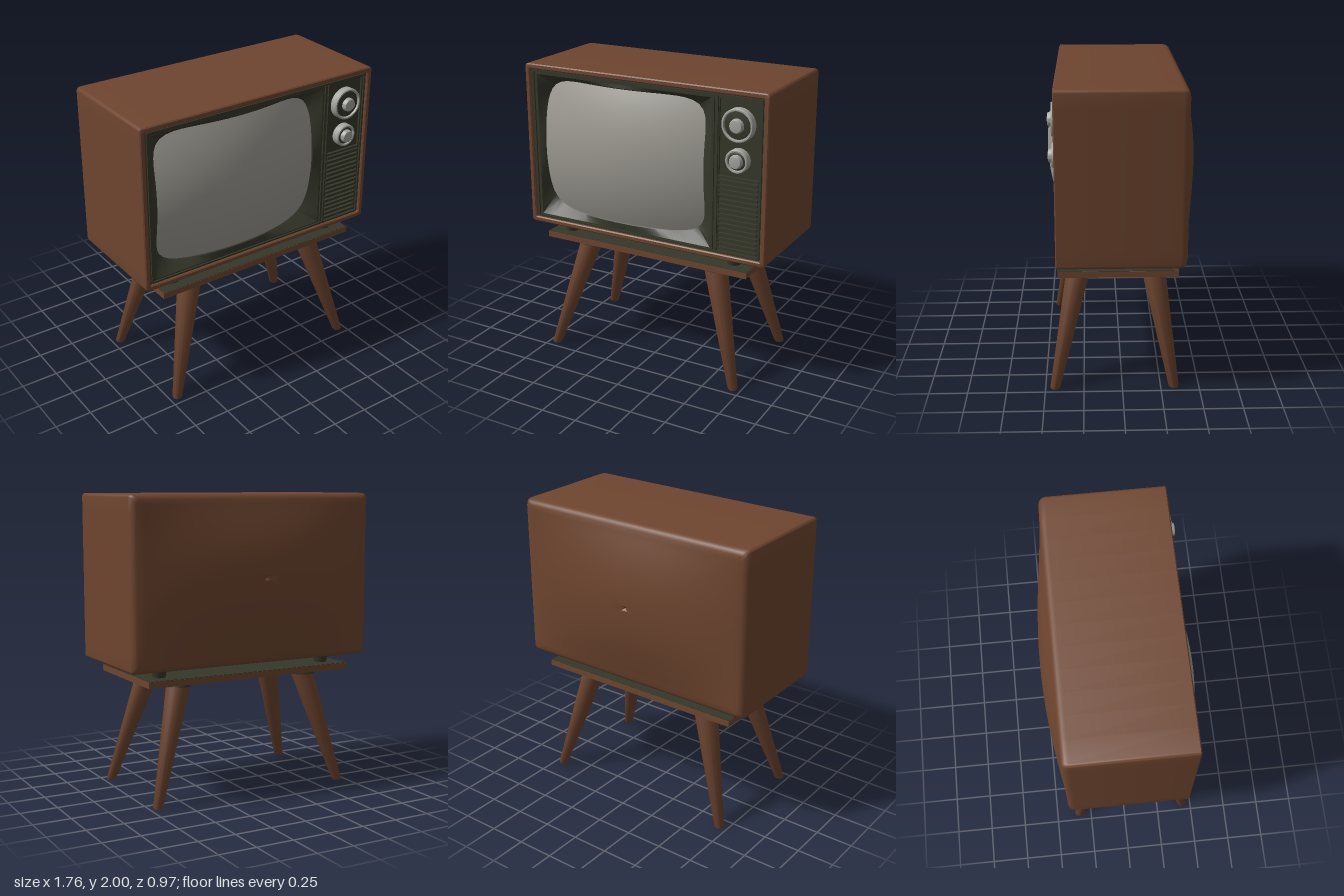
import * as THREE from 'three';
import { toCreasedNormals } from 'three/addons/utils/BufferGeometryUtils.js';

const paint = (name, color) => Object.assign(new THREE.MeshStandardMaterial({ color }), { name });

// Surface through closed rings of [x, y, z] points (counter-clockwise seen from the front)
function loft(rings, crease = 0.6) {
  const n = rings[0].length, index = [];
  for (let i = 0; i < rings.length - 1; i++) {
    for (let j = 0; j < n; j++) {
      const k = (j + 1) % n, a = i * n, b = a + n;
      index.push(a + j, b + j, b + k, a + j, b + k, a + k);
    }
  }
  const g = new THREE.BufferGeometry();
  g.setAttribute('position', new THREE.Float32BufferAttribute(rings.flat(2), 3));
  g.setIndex(index);
  return toCreasedNormals(g, crease);
}

// Rounded rectangle outline with subdivided sides, centred on the origin
function roundedRect(hw, hh, r, sides = 12, arc = 5) {
  const pts = [];
  const centres = [[1, 1], [-1, 1], [-1, -1], [1, -1]];
  centres.forEach(([sx, sy], q) => {
    for (let i = 0; i <= arc; i++) {
      const a = (q + i / arc) * Math.PI / 2;
      pts.push([sx * (hw - r) + r * Math.cos(a), sy * (hh - r) + r * Math.sin(a)]);
    }
    const [nx, ny] = centres[(q + 1) % 4];
    const [px, py] = pts[pts.length - 1];
    const a = (q + 1) * Math.PI / 2;
    const ex = nx * (hw - r) + r * Math.cos(a), ey = ny * (hh - r) + r * Math.sin(a);
    for (let i = 1; i < sides; i++) pts.push([px + (ex - px) * i / sides, py + (ey - py) * i / sides]);
  });
  return pts;
}

// Unit outline: p = Infinity gives a square, smaller p a barrel-sided tube shape
function unitOutline(p, n = 96) {
  return Array.from({ length: n }, (_, i) => {
    const a = i / n * Math.PI * 2, c = Math.cos(a), s = Math.sin(a);
    const ac = Math.abs(c), as = Math.abs(s);
    const d = p === Infinity ? Math.max(ac, as) : (ac ** p + as ** p) ** (1 / p);
    return [c / d, s / d];
  });
}

export function createModel() {
  const brown = paint('walnut', 0x6e452f);
  const dark = paint('dark trim', 0x35372a);
  const glass = paint('screen glass', 0x9d9a92);
  const silver = paint('silver', 0xa3a39e);

  const model = new THREE.Group();
  model.name = 'televisionOnStand';
  const add = (name, geometry, material, x = 0, y = 0, z = 0, parent = model) => {
    const m = new THREE.Mesh(geometry, material);
    m.name = name;
    m.position.set(x, y, z);
    parent.add(m);
    return m;
  };
  const box = (name, w, h, d, material, x, y, z) =>
    add(name, new THREE.BoxGeometry(w, h, d), material, x, y, z);

  // Cabinet: recessed front rim, straight sides, softly bulging back
  const HW = 0.88, HH = 0.555, CY = 1.445;
  const ring = (inset, z, r) => roundedRect(HW - inset, HH - inset, r).map(([x, y]) => [x, y + CY, z]);
  const shell = [
    ring(0.035, 0.35, 0.006), ring(0.035, 0.408, 0.006), ring(0.028, 0.415, 0.01),
    ring(0.007, 0.415, 0.02), ring(0, 0.408, 0.022), ring(0, -0.35, 0.022),
    ring(0.004, -0.37, 0.025), ring(0.015, -0.387, 0.028), ring(0.035, -0.395, 0.03),
  ];
  const rim = shell[shell.length - 1];
  const cx = -0.03;
  for (const s of [0.94, 0.86, 0.77, 0.67, 0.56, 0.45, 0.34, 0.23, 0.12, 0.03, 0]) {
    shell.push(rim.map(([x, y]) => {
      const px = cx + (x - cx) * s, py = CY + (y - CY) * s;
      const u = (px - cx) / (x > cx ? 0.875 : 0.815), v = (py - CY) / 0.52;
      const bulge = Math.max(0, 1 - u * u) * Math.max(0, 1 - v * v) ** 1.15;
      return [px, py + 0.02 * (1 - s), -0.395 - 0.089 * bulge + (s === 0 ? 0.015 : 0)];
    }));
  }
  add('cabinet', loft(shell, 0.7), brown);

  // Front panel frame with openings for the screen and the controls
  const rect = (P, x0, x1, y0, y1) =>
    new P([[x0, y0], [x1, y0], [x1, y1], [x0, y1]].map(([x, y]) => new THREE.Vector2(x, y)));
  const SX = -0.155, BW = 0.645, BY = 1.44, BH = 0.49;
  const face = rect(THREE.Shape, -0.846, 0.846, 0.924, 1.966);
  face.holes.push(rect(THREE.Path, SX - BW, SX + BW, BY - BH, BY + BH));
  face.holes.push(rect(THREE.Path, 0.545, 0.815, 0.945, 1.935));
  add('frontPanel', new THREE.ExtrudeGeometry(face, { depth: 0.03, bevelEnabled: false }), dark, 0, 0, 0.365);

  // Raised trim lines around the panel and beside the divider
  for (const x of [-0.825, 0.507, 0.533, 0.83]) box('verticalTrim', 0.012, 1.02, 0.012, dark, x, 1.445, 0.4);
  for (const y of [0.937, 1.953]) box('horizontalTrim', 1.66, 0.012, 0.012, dark, 0, y, 0.4);

  // Curved picture tube and the sloping bezel that meets its edge
  const SW = 0.595, SH = 0.453, SY = 1.45;
  const tube = unitOutline(6.5);
  const screenRing = (s, lift = 0) => tube.map(([u, v]) => [
    SX - 0.01 + SW * u * s, SY + SH * v * s, 0.485 - 0.108 * (u * s) ** 2 - 0.092 * (v * s) ** 2 + lift]);
  add('screen', loft([0, 0.12, 0.25, 0.4, 0.55, 0.7, 0.82, 0.92, 1].map((s) => screenRing(s)), 1), glass);
  const opening = unitOutline(Infinity).map(([u, v]) => [SX + BW * u, BY + BH * v, 0.395]);
  add('screenBezel', loft([screenRing(0.995, -0.006), screenRing(1.012, 0.008), opening], 0.5), dark);

  // Control panel and speaker grille
  box('controlPanel', 0.28, 1.0, 0.01, dark, 0.68, 1.44, 0.375);
  box('grilleDivider', 0.27, 0.014, 0.022, dark, 0.68, 1.438, 0.389);
  for (let i = 0; i < 15; i++) box('grilleSlat', 0.262, 0.016, 0.02, dark, 0.68, 0.962 + i * 0.0322, 0.39);

  // Dials: silver ring, dark dish and silver knob
  const lathe = (pts, n = 40) => {
    const g = new THREE.LatheGeometry(pts.map(([r, y]) => new THREE.Vector2(r, y)), n);
    return toCreasedNormals(g.rotateX(Math.PI / 2), 0.6);
  };
  const dial = (name, y, R, knob) => {
    const g = new THREE.Group();
    g.name = name;
    g.position.set(0.677, y, 0.38);
    model.add(g);
    add('dialRing', lathe([[R, 0], [R, 0.043], [R - 0.005, 0.05], [R - 0.014, 0.05], [R - 0.02, 0.035]]), silver, 0, 0, 0, g);
    add('dialDish', lathe([[R - 0.01, 0], [R - 0.015, 0.038], [knob, 0.044], [0, 0.044]]), dark, 0, 0, 0, g);
    add('dialKnob', lathe([[knob, 0.03], [knob * 0.92, 0.062], [knob * 0.8, 0.072], [0, 0.077]]), silver, 0, 0, 0, g);
  };
  dial('channelDial', 1.785, 0.106, 0.048);
  dial('volumeDial', 1.56, 0.076, 0.046);

  // Stand top with a dark upper surface
  box('standTop', 1.506, 0.04, 0.756, brown, 0, 0.81, 0.028);
  box('standTopSurface', 1.5, 0.004, 0.75, dark, 0, 0.831, 0.028);

  // Short cabinet feet, splayed legs and their collars
  const splayed = (profile, top, bottom, height) => {
    const g = new THREE.LatheGeometry(profile.map(([r, y]) => new THREE.Vector2(r, y)), 28);
    const p = g.attributes.position;
    for (let i = 0; i < p.count; i++) {
      const t = p.getY(i) / height;
      p.setX(i, p.getX(i) + bottom[0] + (top[0] - bottom[0]) * t);
      p.setZ(i, p.getZ(i) + bottom[1] + (top[1] - bottom[1]) * t);
    }
    return toCreasedNormals(g, 0.7);
  };
  for (const sx of [1, -1]) {
    for (const [side, topZ, bottomZ, footZ] of [['front', 0.27, 0.438, 0.302], ['back', -0.2, -0.336, -0.218]]) {
      const top = [sx * 0.472, topZ], bottom = [sx * 0.695, bottomZ];
      add(side + 'Leg', splayed([[0, 0], [0.026, 0], [0.033, 0.01], [0.081, 0.792]], top, bottom, 0.792), brown);
      add(side + 'LegCollar', splayed([[0.081, 0.762], [0.084, 0.762], [0.085, 0.792]], top, bottom, 0.792), dark);
      add(side + 'Foot', new THREE.CylinderGeometry(0.054, 0.041, 0.064, 28), dark, sx * 0.622, 0.862, footZ);
    }
  }
  return model;
}
